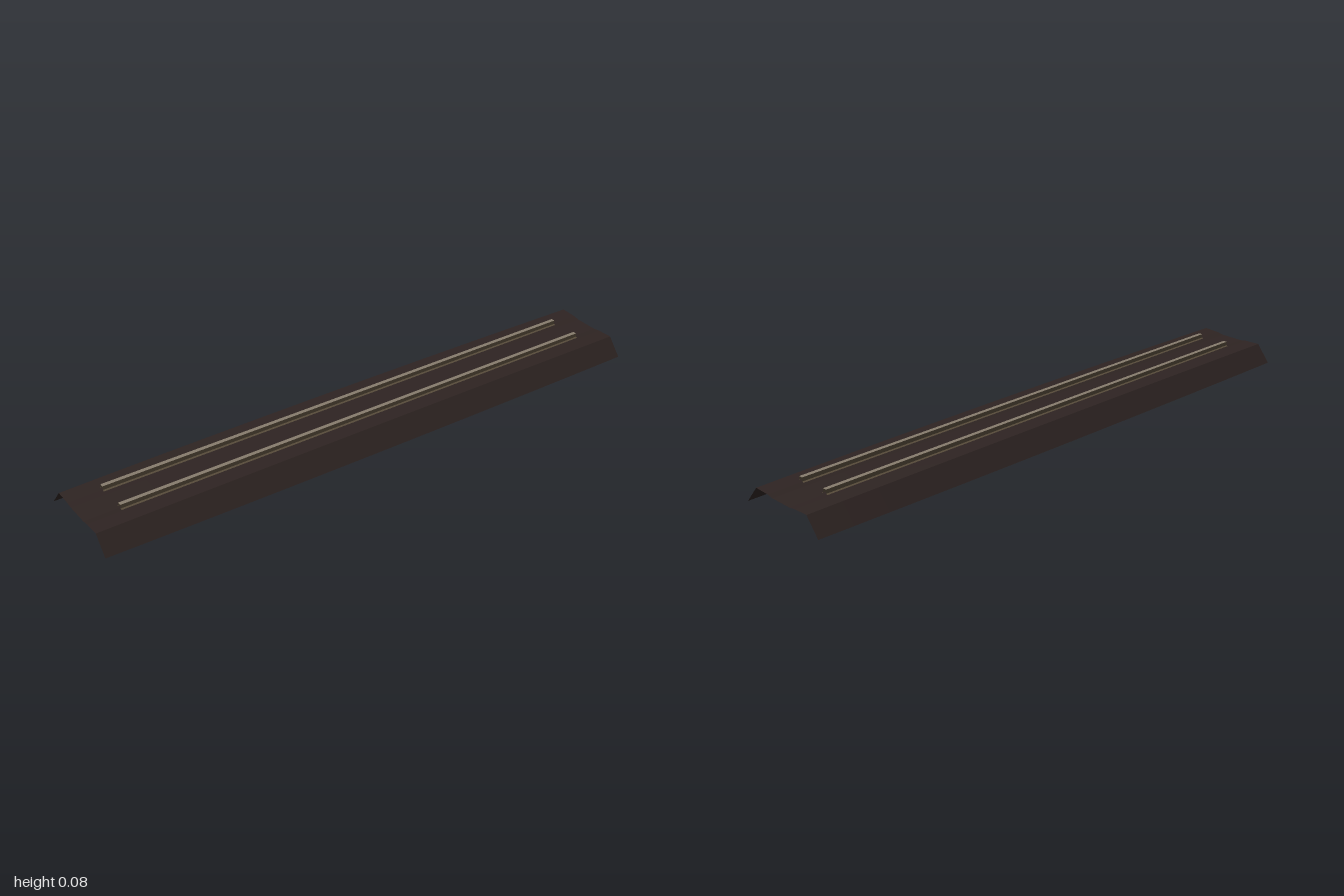
import * as THREE from 'three';

const ballast = new THREE.MeshStandardMaterial({ color: 0x2e2422, side: THREE.DoubleSide });
ballast.name = 'dark ballast';
const steel = new THREE.MeshStandardMaterial({ color: 0x877c6d, side: THREE.DoubleSide });
steel.name = 'worn steel';
const rust = new THREE.MeshStandardMaterial({ color: 0x584c3b, side: THREE.DoubleSide });
rust.name = 'rusty steel';

// Open sheet swept along z; section(z) returns [x, y] points running towards +x
function sweep(name, section, zs, material) {
  const positions = [], index = [];
  const n = section(zs[0]).length;
  for (const z of zs) for (const [x, y] of section(z)) positions.push(x, y, z);
  for (let j = 0; j < zs.length - 1; j++) {
    for (let i = 0; i < n - 1; i++) {
      const a = j * n + i, b = a + n;
      index.push(a, b, a + 1, a + 1, b, b + 1);
    }
  }
  let geometry = new THREE.BufferGeometry();
  geometry.setAttribute('position', new THREE.Float32BufferAttribute(positions, 3));
  geometry.setIndex(index);
  geometry = geometry.toNonIndexed();
  geometry.computeVertexNormals();
  const mesh = new THREE.Mesh(geometry, material);
  mesh.name = name;
  return mesh;
}

// Embankment half-section, swelling gently towards the middle of its length
function bedSection(z) {
  const s = 1 - z * z;
  const half = [
    [0.042, 0.053 + 0.004 * s],
    [0.065, 0.057 + 0.004 * s],
    [0.122 + 0.004 * s, 0.059 + 0.005 * s],
    [0.171 + 0.007 * s, 0],
  ];
  return [...half.map(([x, y]) => [-x, y]).reverse(), ...half];
}

export function createModel() {
  const group = new THREE.Group();
  group.name = 'railwayTrack';

  const stations = Array.from({ length: 17 }, (_, i) => -1 + i / 8);
  group.add(sweep('trackBed', bedSection, stations, ballast));

  // Rails: a low foot, upright sides and a bright running surface, open at the ends
  for (const side of [-1, 1]) {
    const rail = new THREE.Group();
    rail.name = side > 0 ? 'leftRail' : 'rightRail';
    const ends = [-0.89, 0.89];
    const strip = (name, points, material) => {
      const pts = points.map(([x, y]) => [side * x, y]);
      if (side < 0) pts.reverse();
      rail.add(sweep(name, () => pts, ends, material));
    };
    strip('innerSide', [[0.044, 0.065], [0.05, 0.067], [0.05, 0.08]], rust);
    strip('railHead', [[0.05, 0.08], [0.064, 0.08]], steel);
    strip('outerSide', [[0.064, 0.08], [0.064, 0.067], [0.07, 0.065]], rust);
    group.add(rail);
  }
  return group;
}
